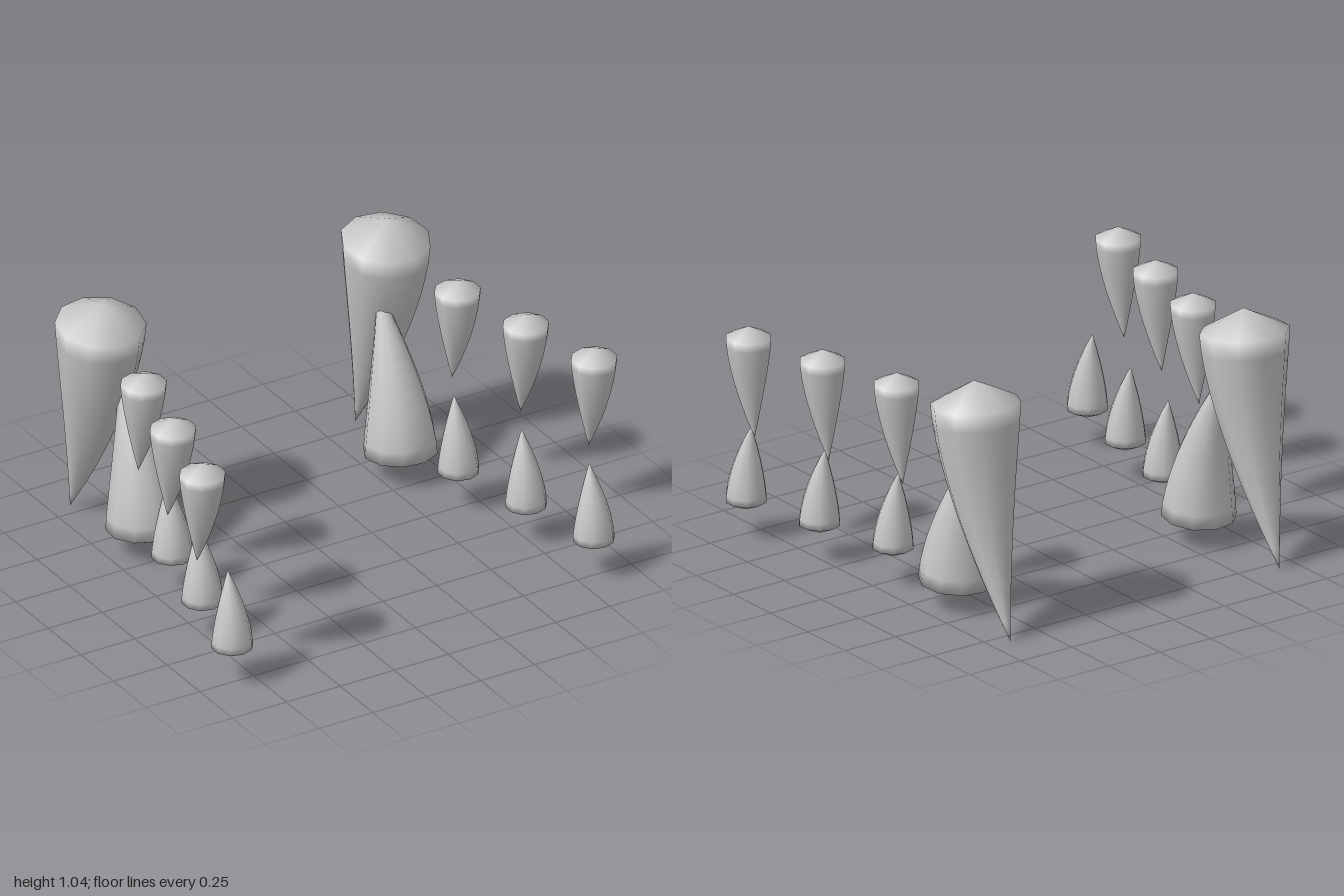
import * as THREE from 'three';

const SIDES = 10;
const RINGS = 12;

// Curved tooth: shallow cone cap at the root, tapering and bending in z to a point.
// root = [x, y, z] of the rim centre, tip = [y, z], cap = [y, z] of the root's point,
// taper = fullness of the flanks, tilt = rise of the rim per unit of z.
function toothGeometry({ root, tip, cap, radius, taper, bend, tilt = 0, phase = 0 }) {
  const [x, y, z] = root;
  const pos = [x, cap[0], cap[1]];
  for (let i = 0; i < RINGS; i++) {
    const t = i / RINGS;
    const r = radius * (1 - Math.pow(t, taper));
    const cy = y + (tip[0] - y) * t;
    const cz = z + (tip[1] - z) * Math.pow(t, bend);
    for (let j = 0; j < SIDES; j++) {
      const a = (j / SIDES) * Math.PI * 2 + phase;
      const dz = Math.cos(a) * r;
      pos.push(x + Math.sin(a) * r, cy + dz * tilt, cz + dz);
    }
  }
  const last = pos.length / 3;
  pos.push(x, tip[0], tip[1]);

  const index = [];
  const flip = tip[0] > y; // upward teeth need the opposite winding
  const face = (a, b, c) => (flip ? index.push(a, c, b) : index.push(a, b, c));
  for (let j = 0; j < SIDES; j++) {
    const k = (j + 1) % SIDES;
    face(0, 1 + j, 1 + k);
    for (let i = 0; i < RINGS - 1; i++) {
      const a = 1 + i * SIDES, b = a + SIDES;
      face(a + j, b + j, b + k);
      face(a + j, b + k, a + k);
    }
    const e = 1 + (RINGS - 1) * SIDES;
    face(e + j, last, e + k);
  }
  const geo = new THREE.BufferGeometry();
  geo.setAttribute('position', new THREE.Float32BufferAttribute(pos, 3));
  geo.setIndex(index);
  geo.computeVertexNormals();
  return geo;
}

export function createModel() {
  const model = new THREE.Group();
  model.name = 'teeth';
  const enamel = new THREE.MeshStandardMaterial({ color: 0xc8c8c8 });
  enamel.name = 'enamel grey';

  for (const side of [1, -1]) {
    const row = new THREE.Group();
    row.name = side > 0 ? 'leftRow' : 'rightRow';
    model.add(row);
    const add = (name, spec) => {
      const mesh = new THREE.Mesh(toothGeometry(spec), enamel);
      mesh.name = name;
      row.add(mesh);
    };

    // Three pairs of small teeth, stepping inward toward the back
    for (let i = 0; i < 3; i++) {
      const dx = 0.09 * i, dz = 0.375 * i;
      add('upperTooth' + (i + 1), {
        root: [side * (0.908 - dx), 0.902, 0.618 - dz], tip: [0.485, 0.576 - dz],
        cap: [0.948, 0.618 - dz], radius: 0.0946, taper: 1.45, bend: 2,
      });
      add('lowerTooth' + (i + 1), {
        root: [side * (0.838 - dx * 0.97), 0.152, 0.73 - dz], tip: [0.48, 0.695 - dz],
        cap: [0.113, 0.73 - dz], radius: 0.085, taper: 1.6, bend: 2,
      });
    }

    // Large fangs at the back
    add('upperFang', {
      root: [side * 0.661, 0.945, -0.573], tip: [0, -0.808], cap: [1.038, -0.563],
      radius: 0.183, taper: 1.35, bend: 1.75, tilt: -0.11, phase: side * 0.157,
    });
    add('lowerFang', {
      root: [side * 0.596, 0.102, -0.352], tip: [0.77, -0.526], cap: [0.035, -0.341],
      radius: 0.152, taper: 1.4, bend: 1.75, tilt: 0.076, phase: side * 0.157,
    });
  }
  return model;
}
